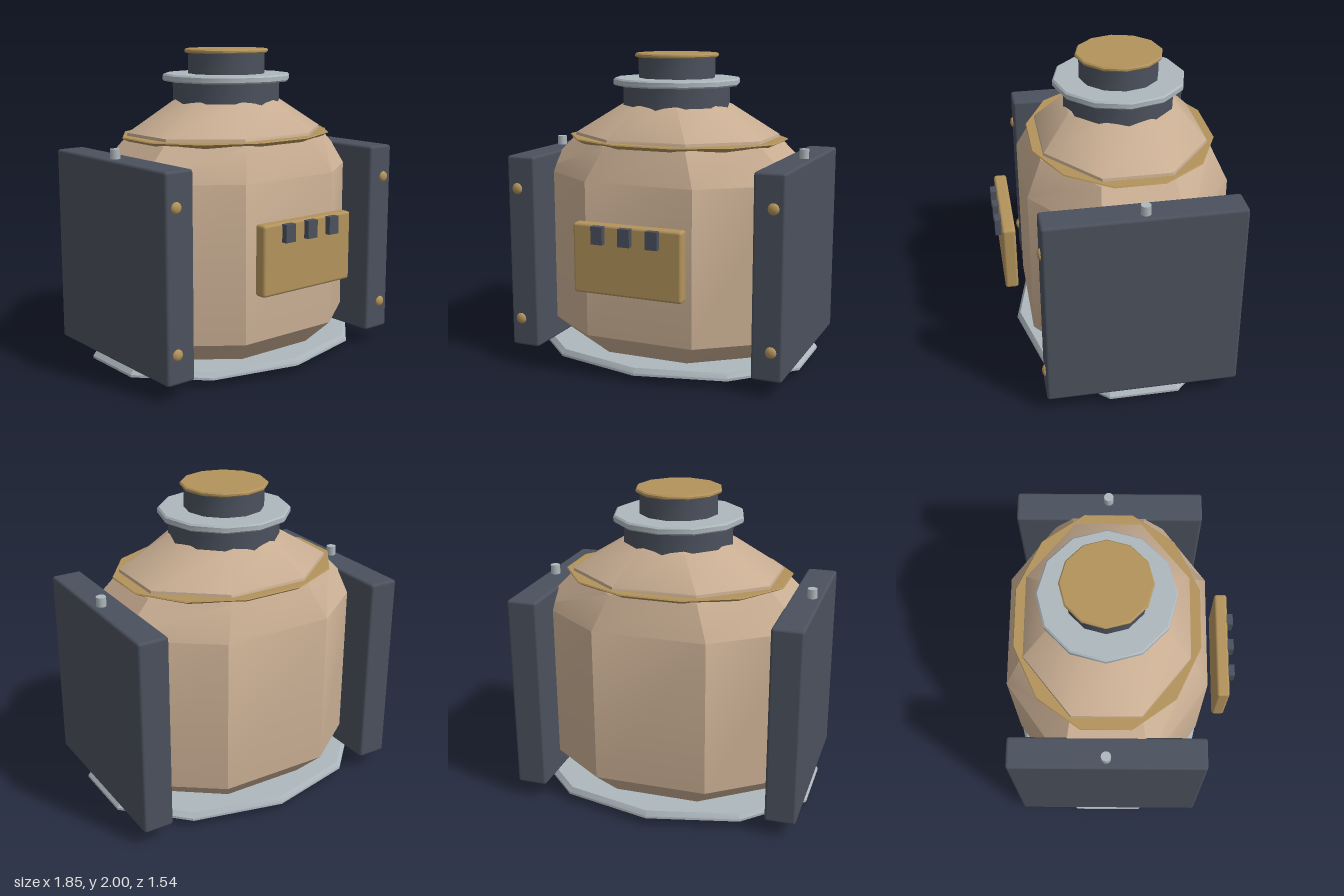
import * as THREE from 'three';
import { toCreasedNormals } from 'three/addons/utils/BufferGeometryUtils.js';
import { RoundedBoxGeometry } from 'three/addons/geometries/RoundedBoxGeometry.js';

const ZC = -0.06; // depth of the vessel's axis

const mat = (color) => new THREE.MeshStandardMaterial({ color });
const tan = mat(0xc8ad92);
const gold = mat(0xb3935c);
const dark = mat(0x4b515d);
const silver = mat(0xadb7bd);

// Closed n-sided solid through rings of [y, radiusX, radiusZ], bottom to top
function faceted(n, phase, rings) {
  const pos = [];
  const point = ([y, rx, rz], i) => {
    const a = phase + (i / n) * Math.PI * 2;
    return [Math.sin(a) * rx, y, Math.cos(a) * rz];
  };
  const last = rings[rings.length - 1];
  for (let i = 0; i < n; i++) {
    for (let k = 0; k < rings.length - 1; k++) {
      const a = point(rings[k], i), b = point(rings[k], i + 1);
      const c = point(rings[k + 1], i + 1), d = point(rings[k + 1], i);
      pos.push(...a, ...b, ...c, ...a, ...c, ...d);
    }
    pos.push(0, rings[0][0], 0, ...point(rings[0], i + 1), ...point(rings[0], i));
    pos.push(0, last[0], 0, ...point(last, i), ...point(last, i + 1));
  }
  const g = new THREE.BufferGeometry();
  g.setAttribute('position', new THREE.Float32BufferAttribute(pos, 3));
  return toCreasedNormals(g, 0.6);
}

export function createModel() {
  const model = new THREE.Group();
  const add = (name, geometry, material, x = 0, y = 0, z = ZC) => {
    const mesh = new THREE.Mesh(geometry, material);
    mesh.name = name;
    mesh.position.set(x, y, z);
    model.add(mesh);
    return mesh;
  };
  const disc = (r, y0, y1, bevel = 0) => faceted(12, 0, bevel
    ? [[y0, r - bevel, r - bevel], [y0 + bevel, r, r], [y1 - bevel, r, r], [y1, r - bevel, r - bevel]]
    : [[y0, r, r], [y1, r, r]]);

  // Ten-sided foot plate, undercut towards the ground
  add('basePlate', faceted(10, 0, [
    [0, 0.76, 0.555], [0.05, 0.97, 0.71], [0.065, 0.97, 0.71], [0.095, 0.945, 0.69],
  ]), silver);

  // Eight-sided vessel with chamfered bottom and shoulder
  add('body', faceted(8, Math.PI / 8, [
    [0.09, 0.70, 0.53], [0.24, 0.93, 0.68], [1.23, 0.93, 0.68], [1.44, 0.71, 0.575],
  ]), tan);

  // Twelve-sided rim between vessel and lid
  add('rim', faceted(12, Math.PI / 12, [
    [1.425, 0.66, 0.54], [1.435, 0.695, 0.565], [1.455, 0.735, 0.595], [1.462, 0.73, 0.59],
  ]), gold);

  // Sloping lid
  add('lid', faceted(8, Math.PI / 8, [
    [1.45, 0.692, 0.555], [1.48, 0.685, 0.55], [1.67, 0.36, 0.365], [1.69, 0.31, 0.32],
  ]), tan);

  // Stacked neck and cap
  add('lowerNeck', disc(0.35, 1.55, 1.8), dark);
  add('flange', disc(0.415, 1.795, 1.842, 0.01), silver);
  add('upperNeck', disc(0.25, 1.83, 1.98), dark);
  add('cap', disc(0.273, 1.973, 2.0, 0.008), gold);

  // Side panels with top pins and front bolts
  for (const [side, s] of [['left', 1], ['right', -1]]) {
    add(side + 'Panel', new RoundedBoxGeometry(0.195, 1.26, 1.21, 2, 0.018), dark, s * 0.825, 0.73, -0.055);
    add(side + 'Pin', new THREE.CylinderGeometry(0.031, 0.031, 0.1, 12), silver, s * 0.86, 1.37);
    for (const y of [0.285, 1.15]) {
      const bolt = add(side + 'Bolt', new THREE.SphereGeometry(0.036, 16, 12), gold, s * 0.852, y, 0.548);
      bolt.scale.z = 0.6;
    }
  }

  // Control plate standing off the front, with three tabs
  add('controlPlate', new RoundedBoxGeometry(0.712, 0.436, 0.083, 2, 0.018), gold, 0, 0.79, 0.692);
  for (const x of [-0.178, 0, 0.178]) {
    add('controlTab', new THREE.BoxGeometry(0.076, 0.11, 0.07), dark, x, 0.947, 0.735);
  }

  return model;
}
